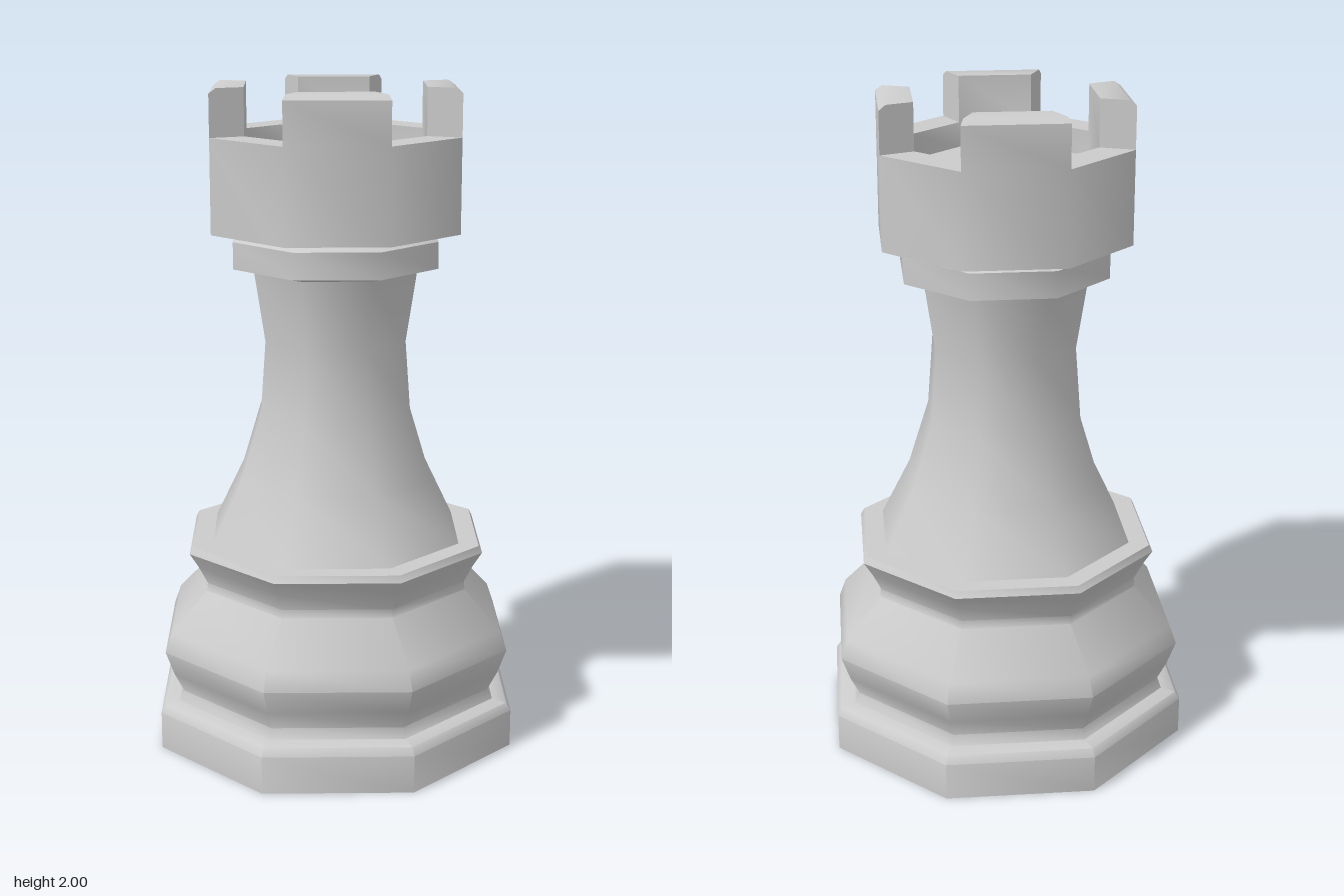
import * as THREE from 'three';
import { mergeGeometries, toCreasedNormals } from 'three/addons/utils/BufferGeometryUtils.js';

const SIDES = 8;
const STEP = (Math.PI * 2) / SIDES;
const CREASE = 0.9; // smooth around the octagon, sharp at square corners

const toPoints = (list) => list.map(([r, y]) => new THREE.Vector2(r, y));

export function createModel() {
  const group = new THREE.Group();
  const material = new THREE.MeshStandardMaterial({ color: 0xcccccc });

  const add = (name, geometry) => {
    const mesh = new THREE.Mesh(toCreasedNormals(geometry, CREASE), material);
    mesh.name = name;
    group.add(mesh);
  };
  const turned = (name, profile) => add(name, new THREE.LatheGeometry(toPoints(profile), SIDES));

  // Foot with a small rounded top edge
  turned('foot', [[0, 0], [0.58, 0], [0.58, 0.115], [0.565, 0.138], [0.52, 0.145]]);

  // Bulging lower body and the flange above it
  turned('lowerBody', [
    [0.52, 0.145], [0.505, 0.175], [0.535, 0.235], [0.562, 0.31], [0.54, 0.37],
    [0.425, 0.49], [0.422, 0.515], [0.45, 0.57], [0.478, 0.615], [0.467, 0.635], [0.4, 0.635],
  ]);

  // Waisted shaft
  turned('shaft', [[0.403, 0.635], [0.308, 0.825], [0.243, 1.03], [0.226, 1.25], [0.26, 1.465]]);

  // Collar under the head
  turned('collar', [[0.26, 1.46], [0.325, 1.475], [0.325, 1.555], [0.3, 1.57], [0.28, 1.58]]);

  // Head: eight sectors, alternately open and carrying a battlement
  const rimY = 1.86, outer = 0.392, inner = 0.285;
  const below = [[0.28, 1.58], [outer, 1.58], [outer, rimY]];
  const battlement = [[outer, 1.985], [0.37, 2], [inner, 2]];
  const hollow = [[inner, rimY], [inner, 1.785], [0, 1.785]];
  const section = [[outer, rimY], ...battlement, [inner, rimY]];

  const parts = [];
  for (let i = 0; i < SIDES; i++) {
    const raised = i % 2 === 1;
    const start = i * STEP;
    const profile = raised ? [...below, ...battlement, ...hollow] : [...below, ...hollow];
    parts.push(new THREE.LatheGeometry(toPoints(profile), 1, start, STEP));
    if (!raised) continue;
    // End faces of the battlement
    for (const [sign, angle] of [[1, start - Math.PI / 2], [-1, start + STEP + Math.PI / 2]]) {
      const shape = new THREE.Shape(toPoints(section.map(([r, y]) => [r * sign, y])));
      parts.push(new THREE.ShapeGeometry(shape).rotateY(angle));
    }
  }
  add('battlementHead', mergeGeometries(parts));

  return group;
}
